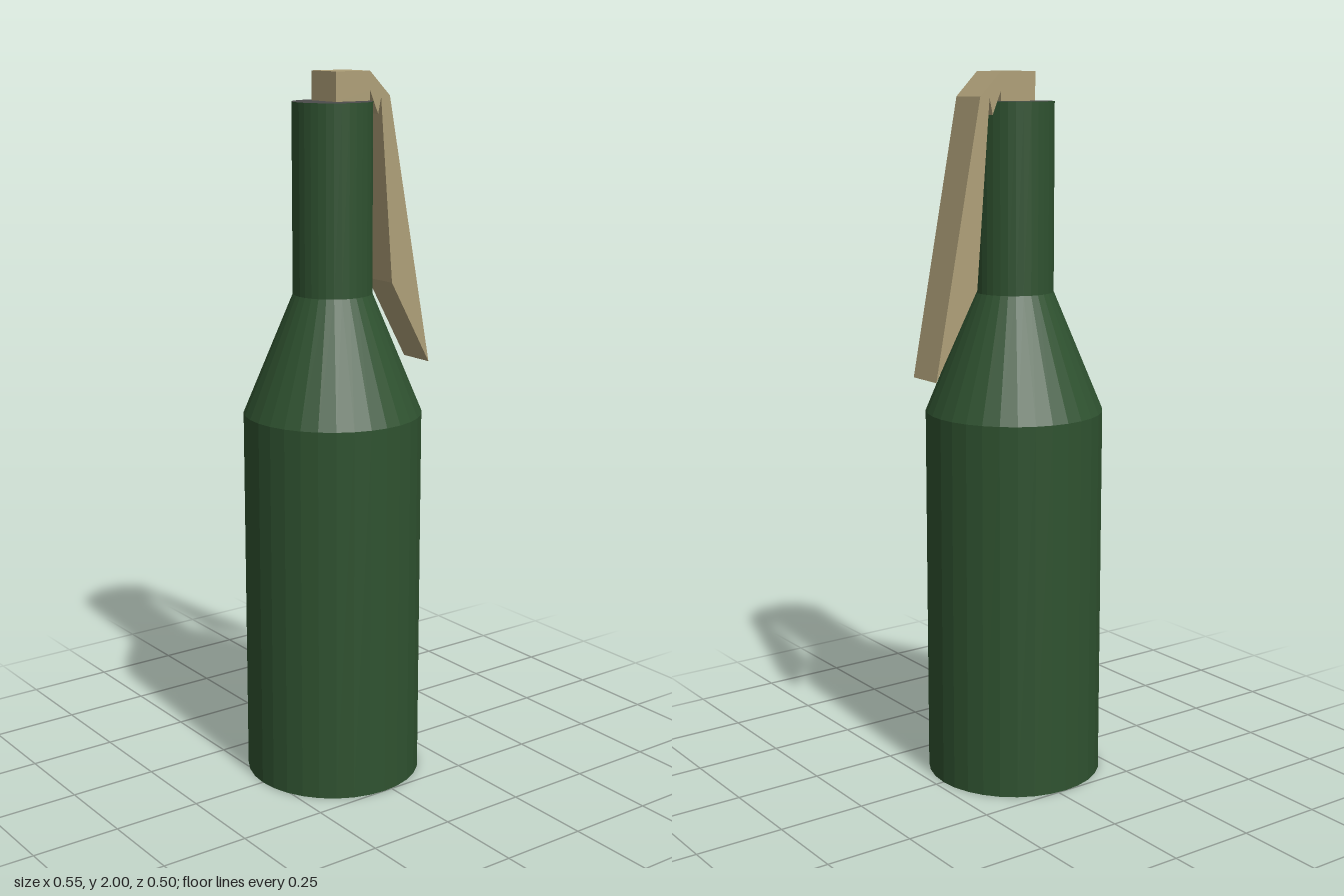
import * as THREE from 'three';

const SIDES = 32;
const AXIS_X = -0.025;

export function createModel() {
  const group = new THREE.Group();
  const paint = (name, color) =>
    new THREE.MeshStandardMaterial({ name, color, flatShading: true });
  const green = paint('bottle green', 0x2f5230);
  const grey = paint('cap grey', 0x4b4b4b);
  const black = paint('base black', 0x050505);
  const tan = paint('lever tan', 0xae9f78);

  const add = (name, geometry, material, x = 0, y = 0, z = 0) => {
    const mesh = new THREE.Mesh(geometry, material);
    mesh.name = name;
    mesh.position.set(x, y, z);
    group.add(mesh);
    return mesh;
  };

  // Bottle wall: stacked open sections [name, bottom y, top y, bottom radius, top radius]
  const sections = [
    ['body', 0, 1.065, 0.25, 0.25],
    ['shoulder', 1.065, 1.4, 0.25, 0.11],
    ['neck', 1.4, 1.92, 0.11, 0.11],
  ];
  for (const [name, y0, y1, r0, r1] of sections) {
    const wall = new THREE.CylinderGeometry(r1, r0, y1 - y0, SIDES, 1, true);
    add(name, wall, green, AXIS_X, (y0 + y1) / 2);
  }

  // End discs
  add('neckTop', new THREE.CircleGeometry(0.11, SIDES), grey, AXIS_X, 1.92).rotation.x = -Math.PI / 2;
  add('base', new THREE.CircleGeometry(0.25, SIDES), black, AXIS_X, 0).rotation.x = Math.PI / 2;

  // Lever: block on the neck, bent over the rim, with a tapering handle
  const profile = [
    [-0.053, 1.921], [0.06, 1.921], [0.06, 1.95], [0.088, 1.885], [0.098, 1.93],
    [0.14, 1.42], [0.275, 1.18], [0.128, 1.933], [0.06, 2], [-0.053, 2],
  ].map(([x, y]) => new THREE.Vector2(x, y));
  const lever = new THREE.ExtrudeGeometry(new THREE.Shape(profile), {
    depth: 0.112, bevelEnabled: false,
  });
  add('lever', lever, tan, 0, 0, -0.057);

  return group;
}
